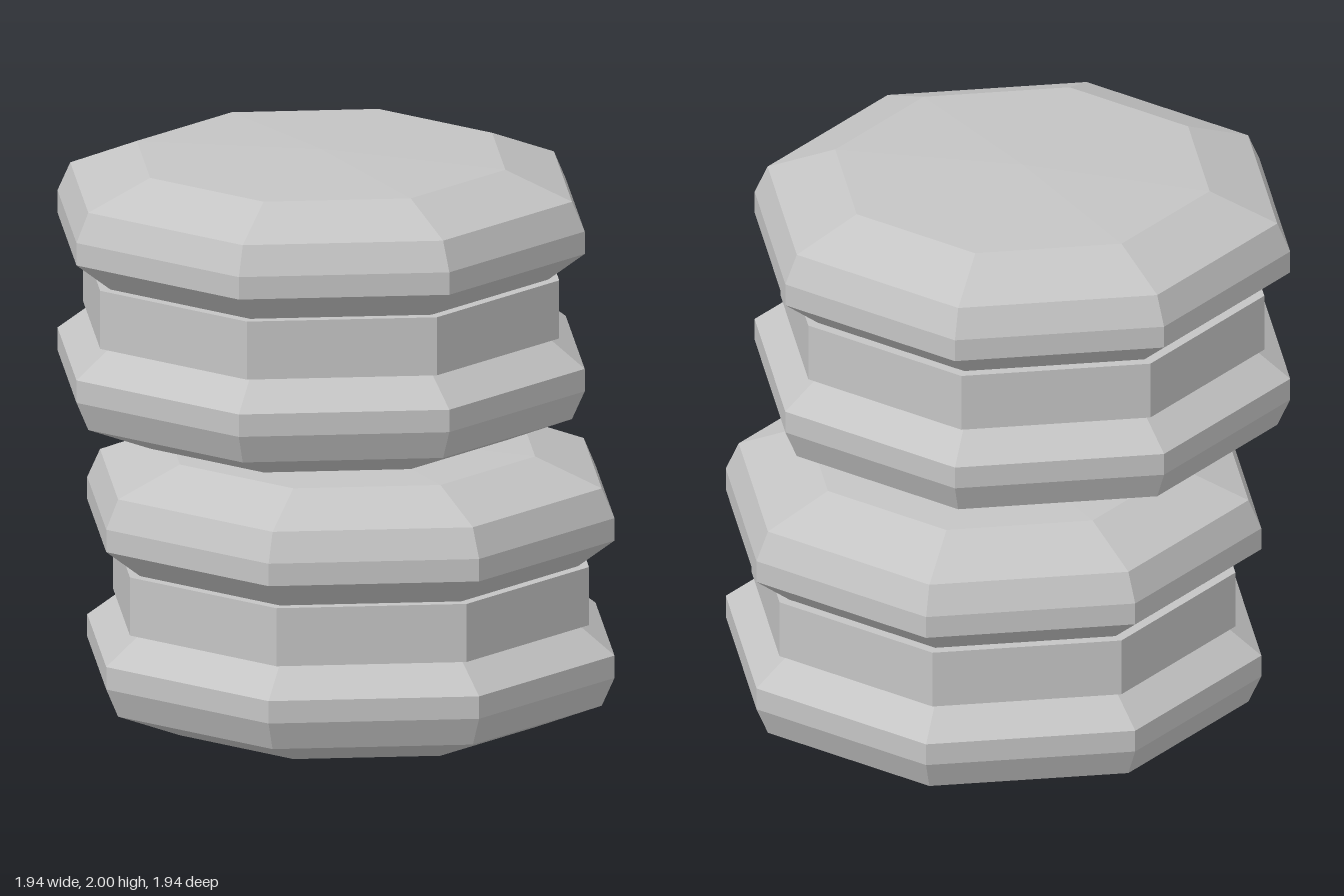
import * as THREE from 'three';

const SIDES = 8;
const lightGrey = new THREE.MeshStandardMaterial({ color: 0xc4c4c4 });
lightGrey.name = 'light grey';

// Revolves a bottom-to-top [radius, y] profile into flat-faced octagonal rings.
function facetedMesh(name, profile) {
  const points = profile.map(([r, y]) => new THREE.Vector2(r, y));
  const geometry = new THREE.LatheGeometry(points, SIDES).toNonIndexed();
  geometry.computeVertexNormals();
  const mesh = new THREE.Mesh(geometry, lightGrey);
  mesh.name = name;
  return mesh;
}

// Upper half of the body, from the waist out to the rim and over the domed cap.
const upperHalf = [
  [0.8, 0.1], [0.93, 0.2], [0.93, 0.278], [0.885, 0.378], [0.65, 0.471], [0, 0.493],
];
const lowerHalf = upperHalf.map(([r, y]) => [r, -y]).reverse();

// One drum: two bevelled rims with a belt around the waist.
function createDrum(name, x, y, z) {
  const drum = new THREE.Group();
  drum.name = name;
  drum.add(
    facetedMesh('rims', [...lowerHalf, ...upperHalf]),
    facetedMesh('belt', [[0, -0.101], [0.84, -0.101], [0.84, 0.101], [0, 0.101]]),
  );
  drum.position.set(x, y, z);
  return drum;
}

export function createModel() {
  const model = new THREE.Group();
  model.name = 'stackedDrums';
  // The two drums are stacked slightly off-centre.
  model.add(
    createDrum('lowerDrum', 0.04, 0.496, -0.04),
    createDrum('upperDrum', -0.04, 1.507, 0.04),
  );
  return model;
}
